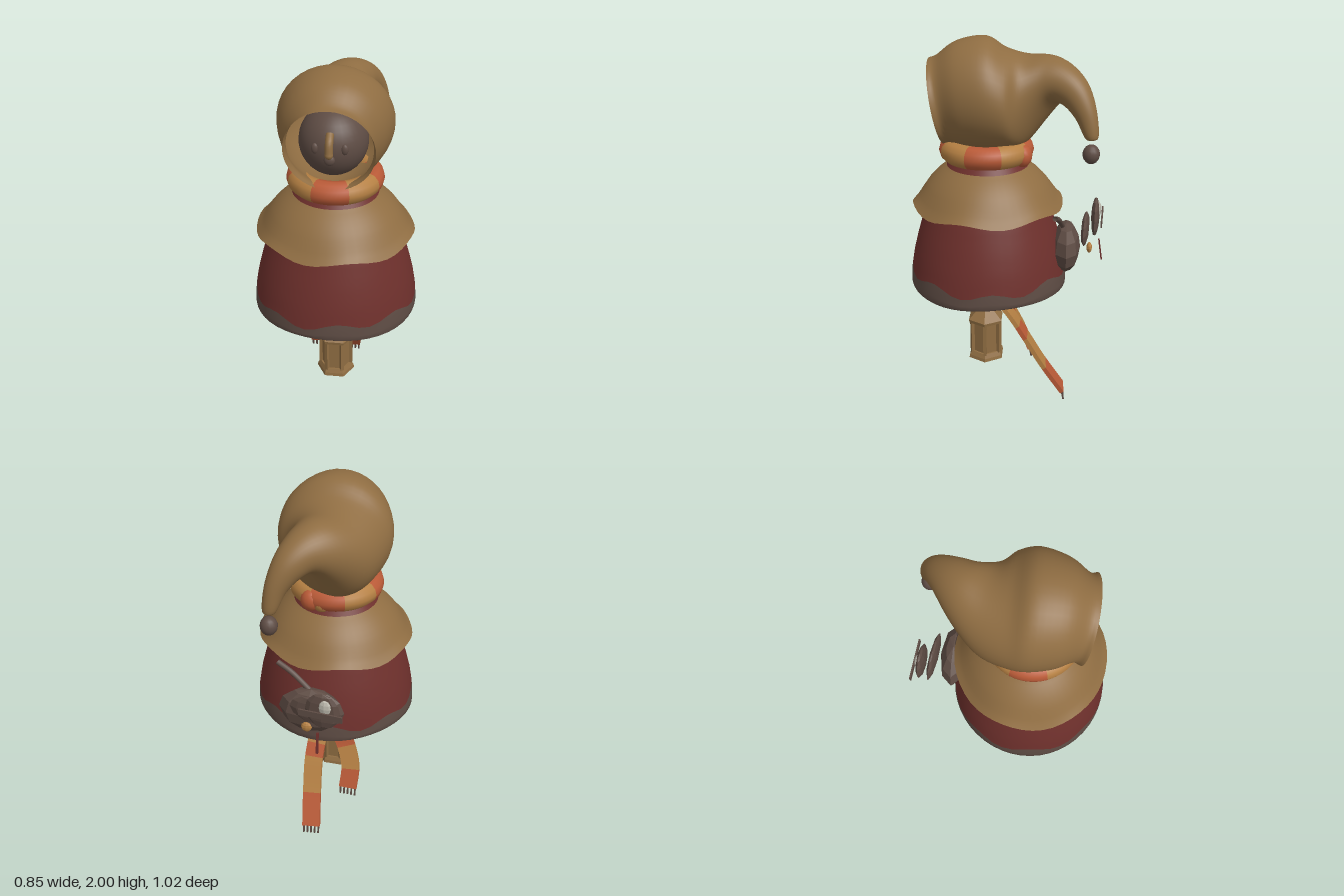
import * as THREE from 'three';

const mat = (name, color) => new THREE.MeshStandardMaterial({ name, color, side: THREE.DoubleSide });
const V = (x, y, z) => new THREE.Vector3(x, y, z);
const TAU = Math.PI * 2;
const CZ = 0.095; // depth of the body axis

// Surface closed in u, open in v, from a point function f(u, v)
function grid(nu, nv, f) {
  const pos = [], idx = [];
  for (let j = 0; j <= nv; j++)
    for (let i = 0; i < nu; i++) pos.push(...f(i / nu, j / nv).toArray());
  for (let j = 0; j < nv; j++)
    for (let i = 0; i < nu; i++) {
      const a = j * nu + i, b = j * nu + (i + 1) % nu;
      idx.push(a, b, b + nu, a, b + nu, a + nu);
    }
  const g = new THREE.BufferGeometry();
  g.setAttribute('position', new THREE.Float32BufferAttribute(pos, 3));
  g.setIndex(idx);
  g.computeVertexNormals();
  return g;
}

function flat(g) {
  const n = g.index ? g.toNonIndexed() : g;
  n.computeVertexNormals();
  return n;
}

// Linear lookup in a list of [key, value] pairs
function lookup(list, k) {
  for (let i = 1; i < list.length; i++) {
    const [k0, v0] = list[i - 1], [k1, v1] = list[i];
    if (k <= k1 || i === list.length - 1) return v0 + (v1 - v0) * (k - k0) / (k1 - k0);
  }
}

export function createModel() {
  const model = new THREE.Group();
  const tan = mat('tan cloth', 0x8f6d42);
  const red = mat('dark red cloth', 0x6e302c);
  const umber = mat('grey brown', 0x5e4c44);
  const orange = mat('scarf orange', 0xb95a37);
  const ochre = mat('scarf ochre', 0xb58043);
  const white = mat('off white', 0xb9b6aa);

  const add = (name, geo, m, x = 0, y = 0, z = 0, parent = model) => {
    const mesh = new THREE.Mesh(geo, m);
    mesh.name = name;
    mesh.position.set(x, y, z);
    parent.add(mesh);
    return mesh;
  };
  const ball = (name, m, p, s, seg = 16) => {
    const mesh = add(name, new THREE.SphereGeometry(1, seg, Math.max(6, seg * 0.6 | 0)), m, ...p);
    mesh.scale.set(...s);
    return mesh;
  };
  const ring = (u, r, y) => V(r * Math.sin(u * TAU), y, CZ + 0.97 * r * Math.cos(u * TAU));

  // Robe with a wavy colour edge above the thick hem
  const robeR = [[0.72, 0.425], [0.8, 0.42], [0.9, 0.402], [1, 0.376], [1.16, 0.325], [1.28, 0.27], [1.4, 0.19]];
  const edge = u => 0.805 + 0.018 * Math.sin(u * TAU * 8 + 0.6) + 0.008 * Math.sin(u * TAU * 3);
  const foot = u => 0.73 + 0.009 * Math.sin(u * TAU * 3 + 2);
  add('robe', grid(48, 14, (u, v) => {
    const y = edge(u) + (1.4 - edge(u)) * v;
    return ring(u, lookup(robeR, y), y);
  }), red);
  add('robeHem', grid(48, 6, (u, v) => {
    const k = Math.round(v * 6);
    if (k < 2) return ring(u, 0.385 + 0.01 * k, k ? foot(u) + 0.01 : 0.8);
    const y = foot(u) - (k === 2 ? 0.01 : 0) + (edge(u) - foot(u)) * Math.max(0, k - 3) / 3;
    return ring(u, lookup(robeR, y) - (k === 2 ? 0.012 : 0), y);
  }), umber);

  // Shoulder cape with a flared wavy hem
  const capeR = [[1.16, 0.4], [1.19, 0.372], [1.23, 0.346], [1.28, 0.31], [1.33, 0.26], [1.38, 0.19], [1.44, 0.13]];
  add('cape', grid(48, 12, (u, v) => {
    const y = 1.16 + 0.28 * v;
    return ring(u, lookup(capeR, y), y + (1 - v) ** 4 * 0.012 * Math.sin(u * TAU * 6));
  }), tan);

  // Hood: [x, y, z, half width, half height, yaw, pitch] from the opening to the drooping tip
  const hood = [
    [0, 1.68, 0.345, 0.212, 0.215, 0, -0.17],
    [0, 1.69, 0.305, 0.202, 0.222, 0, -0.16],
    [0, 1.715, 0.22, 0.25, 0.262, 0, -0.1],
    [0, 1.725, 0.1, 0.28, 0.275, 0, 0],
    [0, 1.7, 0, 0.268, 0.245, 0, 0],
    [0, 1.695, -0.1, 0.217, 0.222, 0.2, 0],
    [0.03, 1.755, -0.2, 0.15, 0.165, 0.45, 0.1],
    [0.08, 1.785, -0.275, 0.105, 0.105, 0.7, 0.35],
    [0.125, 1.745, -0.34, 0.075, 0.08, 0.7, 0.85],
    [0.17, 1.66, -0.39, 0.05, 0.055, 0.6, 1.25],
    [0.195, 1.56, -0.42, 0.032, 0.032, 0.5, 1.45],
    [0.196, 1.55, -0.421, 0.001, 0.001, 0.5, 1.45],
  ];
  const track = f => new THREE.CatmullRomCurve3(hood.map(f), false, 'catmullrom', 0.5);
  const centre = track(s => V(s[0], s[1], s[2]));
  const size = track(s => V(s[3], s[4], 0));
  const turn = track(s => V(s[5], s[6], 0));
  add('hood', grid(40, 55, (u, v) => {
    const s = size.getPoint(v), { x: yaw, y: pitch } = turn.getPoint(v);
    const up = V(Math.sin(yaw) * Math.sin(pitch), Math.cos(pitch), -Math.cos(yaw) * Math.sin(pitch));
    const side = V(Math.cos(yaw), 0, Math.sin(yaw));
    return centre.getPoint(v).addScaledVector(side, s.x * Math.sin(u * TAU)).addScaledVector(up, s.y * Math.cos(u * TAU));
  }), tan);
  ball('hoodPompom', umber, [0.2, 1.48, -0.42], [0.042, 0.048, 0.042]);

  // Face
  ball('head', umber, [0, 1.665, 0.165], [0.165, 0.17, 0.165], 32);
  for (const s of [-1, 1]) ball('eye', umber, [s * 0.068, 1.682, 0.312], [0.017, 0.026, 0.012]);
  const nose = new THREE.CatmullRomCurve3([V(0, 1.75, 0.3), V(0, 1.72, 0.335), V(0, 1.67, 0.348)]);
  add('nose', new THREE.TubeGeometry(nose, 10, 0.019, 10), tan);
  ball('noseTip', tan, [0, 1.668, 0.347], [0.02, 0.02, 0.02]);
  ball('mouth', umber, [0, 1.632, 0.327], [0.026, 0.026, 0.016]);

  // Striped scarf ring and its knot
  for (let k = 0; k < 8; k++) {
    const g = new THREE.TorusGeometry(0.182, 0.058, 12, 8, TAU / 8);
    g.rotateZ(Math.PI / 2 - Math.PI / 8 + k * TAU / 8).rotateX(Math.PI / 2);
    add('scarfStripe', g, k % 2 ? ochre : orange, 0, 1.44, 0.1);
  }
  ball('scarfKnot', orange, [0.085, 1.43, -0.085], [0.055, 0.058, 0.05]);
  ball('scarfKnotSide', ochre, [0.03, 1.425, -0.095], [0.045, 0.05, 0.04]);

  // Hanging scarf ends: flat ribbons cut into stripes, with a fringe
  const stripes = [0, 0.16, 0.4, 0.5, 0.78, 1];
  function scarfEnd(points) {
    const curve = new THREE.CatmullRomCurve3(points.map(p => V(...p)));
    const at = (t, w, h) => {
      const T = curve.getTangent(t);
      const W = V(1, 0, 0).addScaledVector(T, -T.x).normalize();
      const N = W.clone().cross(T);
      const k = Math.min(1, 0.45 + t * 1.7);
      return curve.getPoint(t).addScaledVector(W, w * k).addScaledVector(N, h);
    };
    for (let k = 0; k < 5; k++) {
      const g = grid(4, 10, (u, v) => {
        const c = Math.round(u * 4), e = v === 0 || v === 1 ? 0 : 1;
        const t = THREE.MathUtils.clamp((v - 0.1) / 0.8, 0, 1);
        return at(stripes[k] + (stripes[k + 1] - stripes[k]) * t,
          e * (c === 0 || c === 3 ? -0.05 : 0.05), e * (c < 2 ? -0.012 : 0.012));
      });
      add('scarfEndStripe', flat(g), k % 2 ? ochre : orange);
    }
    for (let i = 0; i < 5; i++) {
      const p = at(1, -0.042 + i * 0.021, 0);
      add('fringe', new THREE.BoxGeometry(0.009, 0.05, 0.009), umber, p.x, p.y - 0.022, p.z - 0.004).rotation.x = 0.2;
    }
  }
  scarfEnd([[0.03, 0.635, 0.11], [0.06, 0.56, 0], [0.078, 0.4, -0.11], [0.07, 0.24, -0.2], [0.05, 0.055, -0.315]]);
  scarfEnd([[0, 0.635, 0.11], [-0.03, 0.56, 0.01], [-0.09, 0.45, -0.035], [-0.125, 0.34, -0.08], [-0.122, 0.22, -0.13]]);

  // Pole, sleeve, cuff and pale hand above the lantern
  add('pole', new THREE.CylinderGeometry(0.022, 0.022, 0.5, 10), tan, 0, 1.08, 0.14);
  const sleeve = add('sleeve', new THREE.CylinderGeometry(0.06, 0.078, 0.2, 14), umber, 0, 0.77, 0.15);
  sleeve.scale.z = 1.3;
  ball('sleeveEnd', umber, [0, 0.69, 0.165], [0.077, 0.038, 0.13]);
  ball('cuff', umber, [0, 0.648, 0.16], [0.082, 0.02, 0.128]);
  ball('hand', white, [0, 0.61, 0.13], [0.06, 0.052, 0.042]);

  // Hexagonal lantern
  const lantern = new THREE.Group();
  lantern.name = 'lantern';
  lantern.position.set(0.002, 0, 0.113);
  lantern.rotation.y = Math.PI / 6;
  model.add(lantern);
  const hex = (name, rt, rb, y0, y1) =>
    add(name, flat(new THREE.CylinderGeometry(rt, rb, y1 - y0, 6)), tan, 0, (y0 + y1) / 2, 0, lantern);
  hex('lanternFoot', 0.1, 0.104, 0.235, 0.252);
  hex('lanternBase', 0.088, 0.1, 0.252, 0.275);
  hex('lanternBody', 0.078, 0.078, 0.275, 0.46);
  hex('lanternRim', 0.103, 0.1, 0.455, 0.472);
  hex('lanternRoof', 0.048, 0.103, 0.472, 0.525);
  hex('lanternCap', 0.03, 0.045, 0.525, 0.545);
  for (let i = 0; i < 6; i++) {
    const a = i * TAU / 6;
    add('lanternPost', new THREE.BoxGeometry(0.018, 0.19, 0.018), tan, 0.083 * Math.sin(a), 0.365, 0.083 * Math.cos(a), lantern).rotation.y = a;
  }
  add('lanternFinial', new THREE.SphereGeometry(0.023, 10, 8), tan, 0, 0.207, 0, lantern);
  add('lanternFinialStem', new THREE.CylinderGeometry(0.01, 0.01, 0.03, 8), tan, 0, 0.225, 0, lantern);
  add('lanternLoop', new THREE.TorusGeometry(0.024, 0.007, 6, 14), tan, 0, 0.56, 0, lantern);
  ball('hookBall', tan, [0, 0.65, 0.145], [0.014, 0.014, 0.014], 8);

  // Bag on the back with its strap and hanging utensils
  const lump = (name, m, p, s, tilt = 0) => {
    const mesh = add(name, flat(new THREE.SphereGeometry(1, 8, 6)), m, ...p);
    mesh.scale.set(...s);
    mesh.rotation.y = tilt;
  };
  lump('bag', umber, [0.035, 0.925, -0.315], [0.17, 0.128, 0.075]);
  const strap = new THREE.CatmullRomCurve3([V(0.22, 1.15, -0.255), V(0.14, 1.11, -0.275), V(0.04, 1.03, -0.3)]);
  add('bagStrap', new THREE.TubeGeometry(strap, 8, 0.014, 6), umber);
  lump('pan', umber, [-0.01, 1.005, -0.415], [0.135, 0.083, 0.02], -0.12);
  lump('pouch', umber, [-0.06, 1.055, -0.468], [0.09, 0.105, 0.022], -0.1);
  lump('pouchPatch', white, [-0.075, 1.09, -0.48], [0.035, 0.045, 0.02], -0.1);
  add('spoon', new THREE.BoxGeometry(0.22, 0.035, 0.008), umber, -0.057, 1.055, -0.503).rotation.y = -0.08;
  lump('bead', ochre, [0.03, 0.915, -0.438], [0.028, 0.028, 0.015]);
  add('tassel', new THREE.BoxGeometry(0.012, 0.12, 0.008), red, -0.04, 0.875, -0.5).rotation.x = 0.15;

  return model;
}
